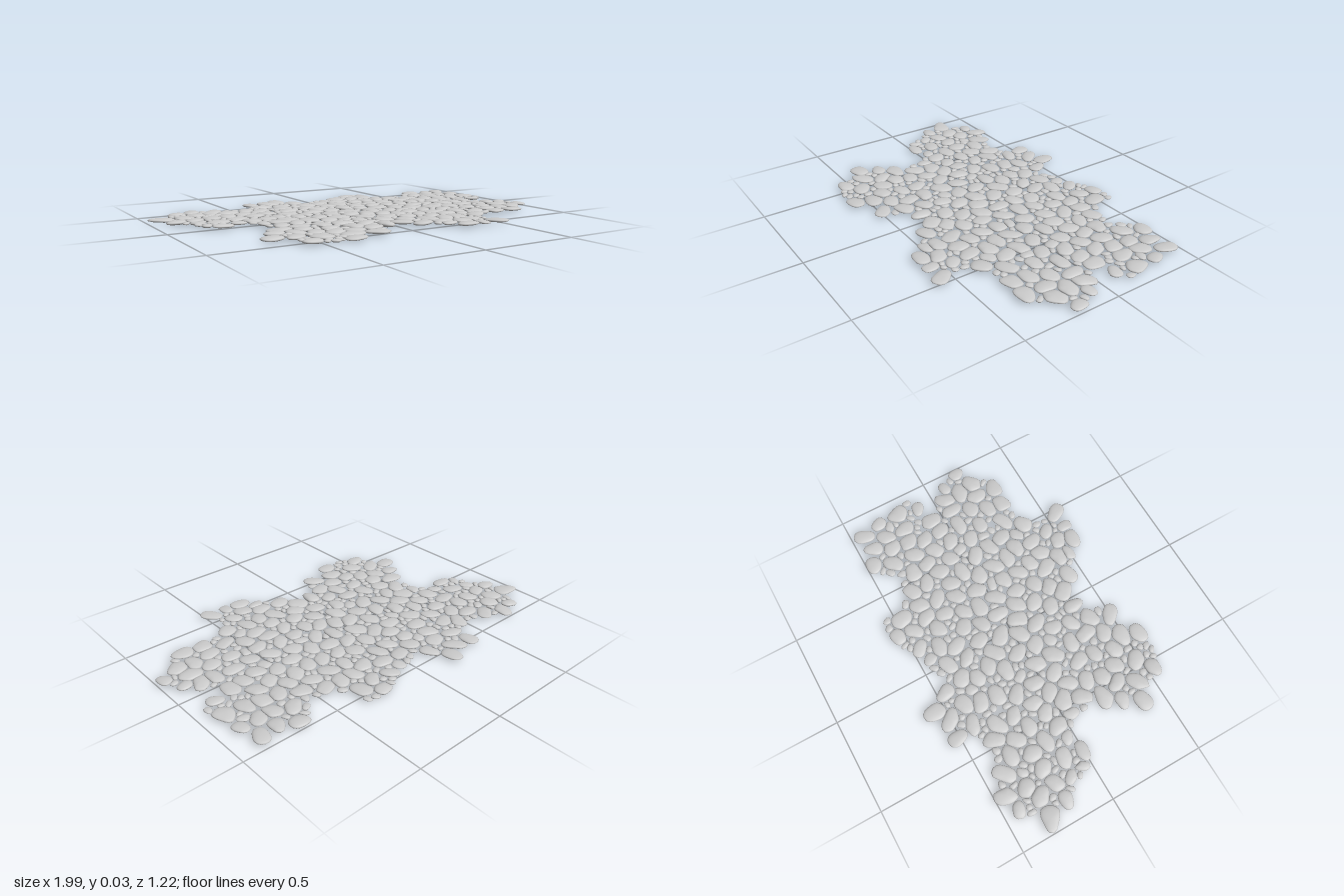
import * as THREE from 'three';
import { mergeGeometries, mergeVertices } from 'three/addons/utils/BufferGeometryUtils.js';

// Outline of the paved patch, x and z pairs
const OUTLINE = [
  -1, -.31, -.88, -.37, -.86, -.46, -.69, -.5, -.6, -.44, -.53, -.41, -.42, -.44, -.42, -.55, -.35, -.56,
  -.26, -.55, -.2, -.62, -.15, -.53, -.1, -.51, -.07, -.45, .04, -.48, .1, -.53, .17, -.54, .23, -.58, .38, -.56,
  .42, -.49, .42, -.41, .54, -.37, .57, -.44, .67, -.5, .88, -.49, .92, -.38, .92, -.29, .96, -.25, .94, -.08,
  .81, -.07, .81, -.02, .88, .02, .96, .08, 1, .2, .89, .27, .84, .38, .72, .36, .57, .36, .48, .43, .5, .6,
  .43, .58, .36, .6, .24, .59, .17, .48, .06, .46, .07, .39, -.11, .41, -.14, .55, -.27, .53, -.32, .61,
  -.4, .6, -.6, .57, -.6, .48, -.72, .41, -.62, .31, -.64, .2, -.54, .17, -.61, .01, -.68, .03, -.79, .02,
  -.86, -.12, -.95, -.18, -.92, -.24];

// Stones along the rim: x, z, half length, half width, angle (the first is the thickest)
const RIM = [
  [-.05, .35, .06, .038, 1.5], [-.93, -.31, .07, .044, .4], [-.2, -.55, .062, .043, 1.57],
  [.47, .55, .064, .038, .95], [-.19, .49, .064, .038, .6], [.96, .19, .045, .035, 1.2],
  [-.66, .39, .06, .042, -.2], [.78, .33, .06, .043, .2], [.29, .55, .058, .04, 0],
  [-.35, .565, .058, .042, -.2], [.86, -.43, .06, .038, -1.2], [-.73, -.01, .056, .034, 0],
  [.12, .42, .06, .042, -.2], [-.82, -.42, .045, .032, .3], [.25, -.53, .05, .038, -.2],
  [-.37, -.51, .055, .037, 1.4], [-.54, .53, .055, .04, -.2], [-.14, -.46, .058, .037, 1.2],
  [.68, -.46, .052, .043, .3], [.77, -.42, .055, .037, 1.9], [.89, -.33, .045, .035, 1.3],
  [-.89, -.2, .052, .035, .1], [.77, .06, .065, .036, 1.5], [-.61, .3, .052, .036, .2],
  [.4, .45, .052, .035, .8], [.5, .36, .057, .044, -.5], [.14, -.46, .053, .036, .8],
  [.87, -.1, .045, .032, .4], [.91, .09, .042, .03, -.2]];

// Size classes: half length range, half width range, half height
const SIZES = [
  { name: 'largePebbles', a: [.052, .064], b: [.035, .041], h: .0105 },
  { name: 'mediumPebbles', a: [.031, .045], b: [.021, .029], h: .009 },
  { name: 'smallPebbles', a: [.016, .025], b: [.012, .017], h: .007 }];

let seed = 7;
function random() {
  seed = (seed * 1664525 + 1013904223) % 4294967296;
  return seed / 4294967296;
}
const between = (lo, hi) => lo + (hi - lo) * random();

function insideOutline(x, z) {
  let inside = false;
  const n = OUTLINE.length;
  for (let i = 0, j = n - 2; i < n; j = i, i += 2) {
    const xi = OUTLINE[i], zi = OUTLINE[i + 1], xj = OUTLINE[j], zj = OUTLINE[j + 1];
    if ((zi > z) !== (zj > z) && x < (xj - xi) * (z - zi) / (zj - zi) + xi) inside = !inside;
  }
  return inside;
}

// swell: how far a stone may grow beyond its ellipse to meet its neighbours
function makeStone(x, z, a, b, angle, size, swell) {
  return { x, z, a, b, c: Math.cos(angle), s: Math.sin(angle), size, swell };
}

// Reach of a stone's ellipse along a unit direction
function reach(p, dx, dz) {
  return Math.hypot(p.a * (dx * p.c + dz * p.s), p.b * (dz * p.c - dx * p.s));
}

function fitsOutline(p) {
  for (let k = 0; k < 10; k++) {
    const u = p.a * Math.cos(k * Math.PI / 5), v = p.b * Math.sin(k * Math.PI / 5);
    if (!insideOutline(p.x + u * p.c - v * p.s, p.z + u * p.s + v * p.c)) return false;
  }
  return true;
}

// Sum of the three narrowest gaps around a candidate, or Infinity if it overlaps
function looseness(p, stones) {
  const gaps = [.1, .1, .1];
  for (const q of stones) {
    const dx = q.x - p.x, dz = q.z - p.z, d2 = dx * dx + dz * dz;
    if (d2 > .03) continue;
    const d = Math.sqrt(d2) + 1e-9;
    const touch = reach(p, dx / d, dz / d) + reach(q, dx / d, dz / d);
    if (d < touch * .92) return Infinity;
    gaps.push(d - touch);
  }
  gaps.sort((m, n) => m - n);
  return gaps[0] + gaps[1] + gaps[2];
}

// Pack from large to small, always taking the snuggest of many candidates
function packStones() {
  const stones = RIM.map((r) => makeStone(...r, 0, 1));
  SIZES.forEach((size, index) => {
    for (let n = 0; n < 220; n++) {
      let best = null, bestScore = Infinity;
      for (let t = 0; t < 1500; t++) {
        const p = makeStone(between(-1, 1), between(-.62, .62), between(...size.a), between(...size.b),
          between(0, Math.PI), index, 1.2);
        if (!insideOutline(p.x, p.z)) continue;
        const score = looseness(p, stones);
        if (score < bestScore && fitsOutline(p)) { best = p; bestScore = score; }
      }
      if (!best) break;
      stones.push(best);
    }
  });
  return stones;
}

// Flattened sphere with a blunt, tapered plan pressed softly against its neighbours
function pebbleGeometry(p, stones) {
  const walls = [];
  for (const q of stones) {
    const dx = q.x - p.x, dz = q.z - p.z, d = Math.hypot(dx, dz);
    if (q === p || d > .18) continue;
    const ux = dx / d, uz = dz / d, mine = reach(p, ux, uz);
    walls.push([ux, uz, d * mine / (mine + reach(q, ux, uz)) - .0005]);
  }
  const taper = between(-.3, .3);
  const radius = (dx, dz) => {
    const u = dx * p.c + dz * p.s, v = dz * p.c - dx * p.s;
    const blunt = Math.abs(u / p.a) ** 2.5 + Math.abs(v / (p.b * (1 - taper * u))) ** 2.5;
    let sum = (p.swell * blunt ** -.4) ** -14;
    for (const [ux, uz, w] of walls) {
      const cos = dx * ux + dz * uz;
      if (cos > .05) sum += (w / cos) ** -14;
    }
    return sum ** (-1 / 14);
  };
  const detail = p.size < 2 ? [20, 8] : [12, 6];
  let geometry = new THREE.SphereGeometry(1, ...detail);
  geometry.deleteAttribute('uv');
  geometry.deleteAttribute('normal');
  geometry = mergeVertices(geometry, 1e-4);
  const pos = geometry.attributes.position;
  const thickest = p === stones[0];
  const h = thickest ? .014 : SIZES[p.size].h * between(.85, 1.1);
  const lift = thickest ? .014 : between(.0135, .0155);
  const tiltX = thickest ? 0 : between(-.04, .04), tiltZ = thickest ? 0 : between(-.04, .04);
  for (let i = 0; i < pos.count; i++) {
    const x = pos.getX(i), y = pos.getY(i), z = pos.getZ(i), s = Math.hypot(x, z);
    const r = s < 1e-4 ? 0 : radius(x / s, z / s) * s ** .9 / s;
    pos.setXYZ(i, p.x + x * r, lift + y * h + x * r * tiltX + z * r * tiltZ, p.z + z * r);
  }
  geometry.computeVertexNormals();
  return geometry;
}

export function createModel() {
  seed = 7;
  const group = new THREE.Group();
  group.name = 'pebblePatch';
  const material = new THREE.MeshStandardMaterial({ color: 0xcccccc });
  const stones = packStones();
  SIZES.forEach((size, index) => {
    const parts = stones.filter((p) => p.size === index).map((p) => pebbleGeometry(p, stones));
    const mesh = new THREE.Mesh(mergeGeometries(parts), material);
    mesh.name = size.name;
    group.add(mesh);
  });
  return group;
}
